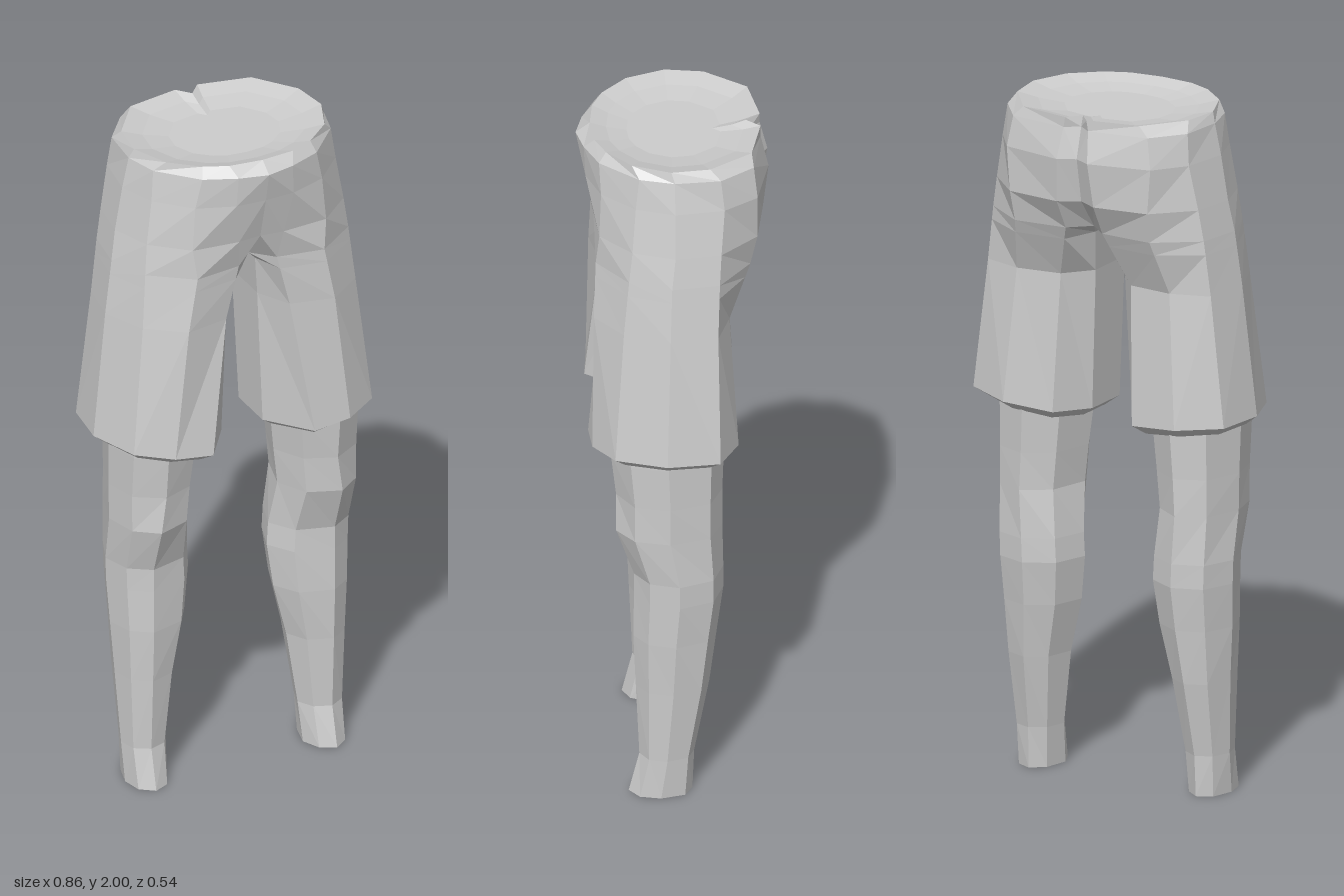
import * as THREE from 'three';

const material = new THREE.MeshStandardMaterial({ color: 0xcccccc, flatShading: true });
material.name = 'plain grey';

// Skins a stack of rings (listed top to bottom); side = -1 mirrors across x.
function loft(name, rings, side, capTop, capBottom) {
  const pos = [];
  const tri = (a, b, c) => {
    for (const p of side > 0 ? [a, b, c] : [a, c, b]) pos.push(p[0] * side, p[1], p[2]);
  };
  const n = rings[0].length;
  for (let r = 0; r < rings.length - 1; r++) {
    const t = rings[r], u = rings[r + 1];
    for (let i = 0; i < n; i++) {
      const j = (i + 1) % n;
      // the two halves join on x = 0, so no wall is needed there
      if ([t[i], t[j], u[i], u[j]].every((p) => p[0] === 0)) continue;
      tri(t[i], u[i], u[j]);
      tri(t[i], u[j], t[j]);
    }
  }
  const fan = (ring, flip) => {
    const c = [0, 1, 2].map((k) => ring.reduce((s, p) => s + p[k], 0) / n);
    ring.forEach((p, i) => {
      const q = ring[(i + 1) % n];
      if (flip) tri(c, q, p); else tri(c, p, q);
    });
  };
  if (capTop) fan(rings[0], false);
  if (capBottom) fan(rings[rings.length - 1], true);
  const geo = new THREE.BufferGeometry();
  geo.setAttribute('position', new THREE.Float32BufferAttribute(pos, 3));
  geo.computeVertexNormals();
  const mesh = new THREE.Mesh(geo, material);
  mesh.name = name;
  return mesh;
}

// One half ring of the shorts: inner front, round the outside, to inner back.
const level = (y, xs, zs, tilt = 0) => xs.map((x, i) => [x, y + (x - 0.25) * tilt, zs[i]]);
const waist = level(2.0, [0, .1, .17, .25, .295, .28, .19, .035, 0], [.23, .22, .19, .12, .01, -.1, -.22, -.25, -.21]);
const belt = level(1.97, [0, .085, .18, .28, .307, .295, .22, .04, 0], [.27, .25, .21, .1, 0, -.13, -.225, -.25, -.22]);
const seat = level(1.88, [0, .09, .2, .29, .327, .305, .235, .05, 0], [.25, .245, .205, .11, 0, -.14, -.235, -.272, -.245]);
const hip = level(1.75, [0, .07, .21, .31, .35, .33, .225, .06, 0], [.215, .222, .21, .12, 0, -.13, -.235, -.255, -.22]);
const crotch = level(1.66, [0, .06, .2, .32, .366, .345, .22, .06, 0], [.14, .2, .22, .13, .01, -.125, -.215, -.205, -.15]);
const thigh = level(1.5, [.048, .1, .23, .335, .388, .365, .25, .115, .048], [.1, .2, .226, .145, .015, -.12, -.155, -.14, -.06]);
const hem = level(1.105, [.065, .16, .275, .375, .43, .41, .28, .13, .065], [.1, .24, .232, .17, .025, -.125, -.18, -.16, -.05], .09);

// Arch between the legs: the innermost points part sooner than the rest
const arch = crotch.map(([x, , z], i) => {
  const t = x === 0 ? 0.75 : 0.25;
  return [THREE.MathUtils.lerp(x, thigh[i][0], t), 1.62, THREE.MathUtils.lerp(z, thigh[i][2], t)];
});

// Chamfered hem turned in towards the leg
const hemUnder = hem.map(([x, y, z]) => [0.25 + (x - 0.25) * 0.8, y - 0.028, 0.025 + (z - 0.025) * 0.8]);

// One ring of the lower leg, with a ridge down the front
function legRing(y, inner, outer, back, front, ridge = 0.285) {
  const w = outer - inner, d = front - back;
  return [
    [inner, y, back + d * 0.58], [inner + w * 0.2, y, back + d * 0.88], [ridge, y, front],
    [outer - w * 0.1, y, back + d * 0.83], [outer, y, back + d * 0.5],
    [outer - w * 0.16, y, back + d * 0.12], [inner + w * 0.48, y, back],
    [inner + w * 0.14, y, back + d * 0.18],
  ];
}

const legRings = [
  legRing(1.2, .115, .38, -.14, .18, .27),
  legRing(1.08, .115, .38, -.14, .18, .27),
  legRing(.95, .13, .378, -.135, .165, .27),
  legRing(.84, .142, .376, -.135, .165),
  legRing(.7, .128, .374, -.138, .115),
  legRing(.63, .124, .372, -.138, .115),
  legRing(.5, .14, .365, -.12, .117),
  legRing(.34, .178, .354, -.098, .11),
  legRing(.12, .208, .342, -.055, .1),
  legRing(0, .215, .338, -.05, .13),
];

// Shallow dish closing the waist
function waistLid() {
  const mirrored = waist.slice(1, -1).reverse().map(([x, y, z]) => [-x, y, z]);
  const rim = [...waist, ...mirrored];
  const ring = (s, y) => rim.map(([x, , z]) => [x * s, y, z * s]);
  // rings run from the centre outwards so that the faces look up
  return loft('waistLid', [ring(0.55, 1.975), ring(0.8, 1.985), rim], 1, true, false);
}

export function createModel() {
  const model = new THREE.Group();
  model.name = 'legsInShorts';
  const shortsRings = [waist, belt, seat, hip, crotch, arch, thigh, hem, hemUnder];
  for (const [label, side] of [['left', 1], ['right', -1]]) {
    model.add(loft(label + 'Shorts', shortsRings, side, false, true));
    model.add(loft(label + 'Leg', legRings, side, true, true));
  }
  model.add(waistLid());
  return model;
}
